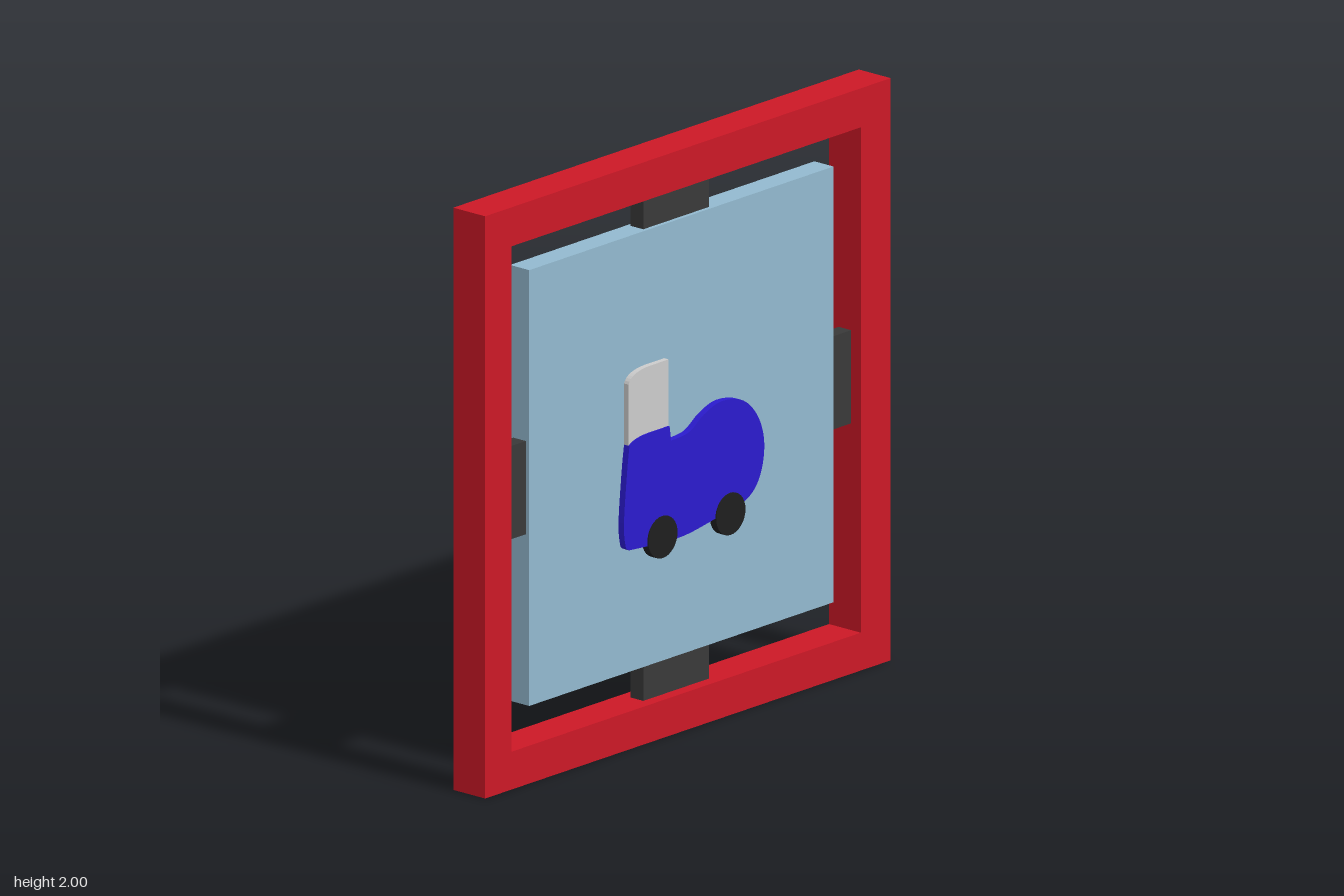
import * as THREE from 'three';

const material = (color) => new THREE.MeshStandardMaterial({ color });
const vectors = (points) => points.map(([x, y]) => new THREE.Vector2(x, y));

// Flat slab of a given depth, centred on z = 0
function slab(name, shape, depth, mat) {
  const geometry = new THREE.ExtrudeGeometry(shape, { depth, bevelEnabled: false, curveSegments: 8 });
  geometry.translate(0, 0, -depth / 2);
  const mesh = new THREE.Mesh(geometry, mat);
  mesh.name = name;
  return mesh;
}

// Box given by its edges in x and y, centred on z = 0
function block(name, x0, x1, y0, y1, depth, mat) {
  const mesh = new THREE.Mesh(new THREE.BoxGeometry(x1 - x0, y1 - y0, depth), mat);
  mesh.position.set((x0 + x1) / 2, (y0 + y1) / 2, 0);
  mesh.name = name;
  return mesh;
}

export function createModel() {
  const model = new THREE.Group();
  model.name = 'framedVehiclePanel';
  const red = material(0xcc1826);
  const paleBlue = material(0x92b9cf);
  const charcoal = material(0x393939);
  const blue = material(0x2b1bce);
  const black = material(0x1e1e1e);
  const grey = material(0xcccccc);

  // Outer frame with a square opening
  const frame = new THREE.Shape(vectors([[-0.997, 0], [0.997, 0], [0.997, 2], [-0.997, 2]]));
  frame.holes.push(new THREE.Path(vectors([[-0.867, 0.13], [-0.867, 1.866], [0.85, 1.866], [0.85, 0.13]])));
  model.add(slab('frame', frame, 0.14, red));

  // Inner panel and the four tabs holding it
  model.add(
    block('panel', -0.749, 0.747, 0.253, 1.75, 0.084, paleBlue),
    block('topTab', -0.172, 0.151, 1.75, 1.866, 0.055, charcoal),
    block('bottomTab', -0.172, 0.151, 0.13, 0.253, 0.055, charcoal),
    block('rightTab', -0.867, -0.749, 0.84, 1.16, 0.055, charcoal),
    block('leftTab', 0.747, 0.85, 0.84, 1.16, 0.055, charcoal),
  );

  // Vehicle, standing out on both faces of the panel
  const vehicle = new THREE.Group();
  vehicle.name = 'vehicle';

  const body = new THREE.Shape();
  body.moveTo(-0.283, 1.04);
  body.quadraticCurveTo(-0.26, 1.06, -0.19, 1.062);
  body.lineTo(-0.086, 1.062);
  body.lineTo(-0.078, 1.01);
  body.splineThru(vectors([
    [0.01, 1.018], [0.085, 1.062], [0.17, 1.086], [0.275, 1.064], [0.35, 0.99],
    [0.38, 0.888], [0.356, 0.78], [0.286, 0.717], [0.14, 0.69], [-0.02, 0.668], [-0.18, 0.674], [-0.285, 0.682],
  ]));
  body.splineThru(vectors([[-0.302, 0.7], [-0.31, 0.78], [-0.295, 0.95], [-0.283, 1.04]]));
  vehicle.add(slab('body', body, 0.132, blue));

  const cab = new THREE.Shape();
  cab.moveTo(-0.283, 1.03);
  cab.lineTo(-0.283, 1.25);
  cab.quadraticCurveTo(-0.27, 1.288, -0.18, 1.29);
  cab.lineTo(-0.086, 1.29);
  cab.lineTo(-0.086, 1.04);
  vehicle.add(slab('cab', cab, 0.124, grey));

  for (const [name, x] of [['rearWheel', -0.123], ['frontWheel', 0.211]]) {
    const wheel = new THREE.Mesh(new THREE.CylinderGeometry(0.072, 0.072, 0.14, 32), black);
    wheel.rotation.x = Math.PI / 2;
    wheel.position.set(x, 0.69, 0);
    wheel.name = name;
    vehicle.add(wheel);
  }
  model.add(vehicle);

  // The whole piece is turned slightly about the vertical axis
  model.rotation.y = -0.034;
  return model;
}
